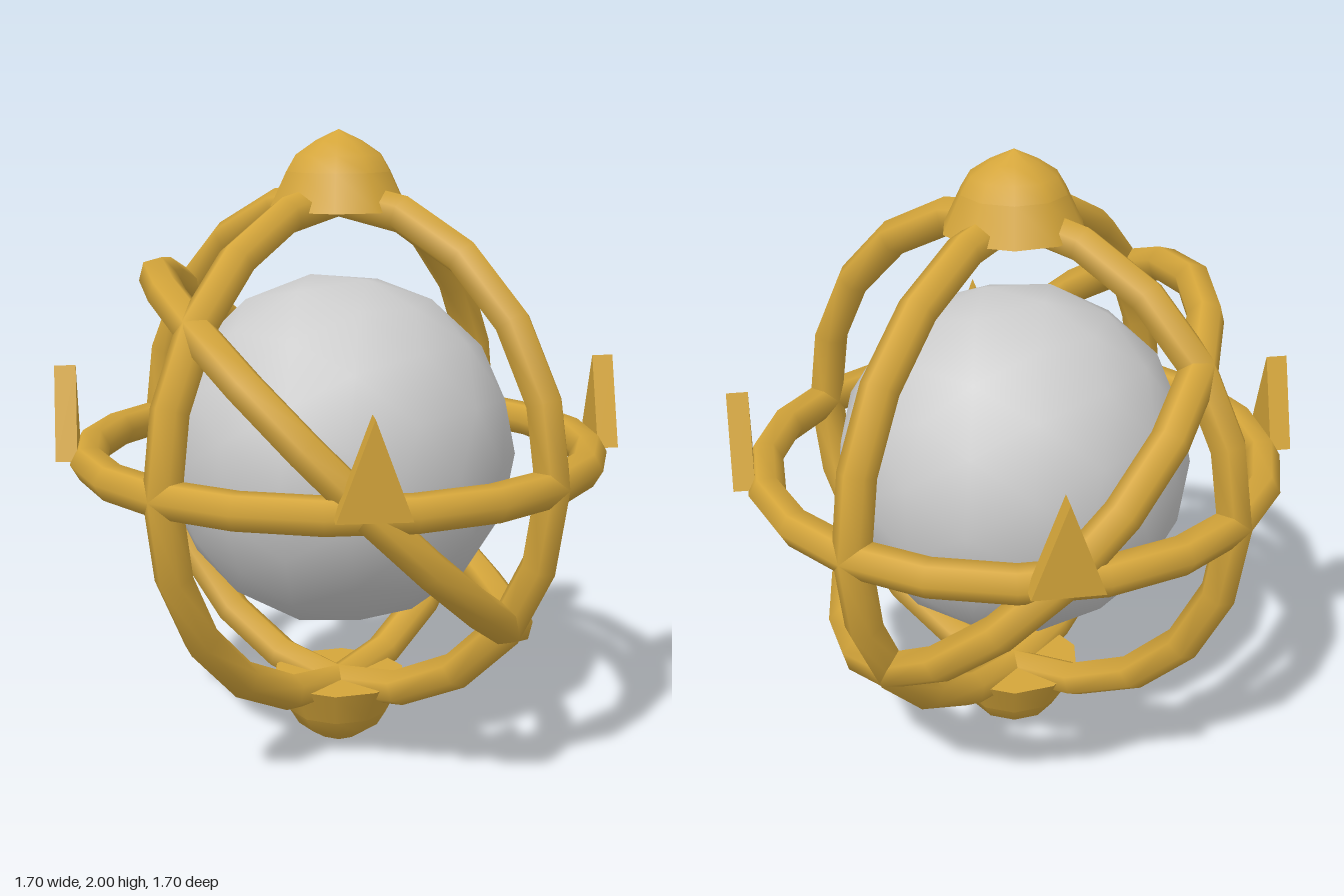
import * as THREE from 'three';

const GOLD = 0xd4a53a;
const CENTRE_Y = 1;
const RING_RADIUS = 0.793;

export function createModel() {
  const model = new THREE.Group();
  model.name = 'cagedGlobe';
  const gold = new THREE.MeshStandardMaterial({ color: GOLD });
  const grey = new THREE.MeshStandardMaterial({ color: 0xcccccc });

  // everything is placed about the globe's centre
  const body = new THREE.Group();
  body.name = 'body';
  body.position.y = CENTRE_Y;
  model.add(body);

  const add = (parent, name, geometry, material) => {
    const mesh = new THREE.Mesh(geometry, material);
    mesh.name = name;
    parent.add(mesh);
    return mesh;
  };

  // inner globe
  add(body, 'globe', new THREE.IcosahedronGeometry(0.56, 2), grey);

  // cage rings: each is a torus turned so that its axis follows the given normal
  const ringGeometry = new THREE.TorusGeometry(RING_RADIUS, 0.058, 6, 20);
  const rings = [
    ['frontRing', 0, 0, 1],
    ['sideRing', 1, 0, 0],
    ['equatorRing', 0, 1, 0],
    ['tiltedRing', 0.5, Math.SQRT1_2, -0.5],
  ];
  for (const [name, x, y, z] of rings) {
    const ring = add(body, name, ringGeometry, gold);
    ring.quaternion.setFromUnitVectors(new THREE.Vector3(0, 0, 1), new THREE.Vector3(x, y, z).normalize());
  }

  // pole caps: rounded dome, flared skirt and flat underside
  const lathe = (points) =>
    new THREE.LatheGeometry(points.map(([r, y]) => new THREE.Vector2(r, y)), 10);
  const dome = lathe([[0.165, 0.875], [0.135, 0.925], [0.075, 0.965], [0, 1]]);
  const skirt = lathe([[0.22, 0.76], [0.165, 0.875]]);
  const underside = lathe([[0, 0.76], [0.22, 0.76]]);
  for (const [name, turn] of [['topCap', 0], ['bottomCap', Math.PI]]) {
    const cap = new THREE.Group();
    cap.name = name;
    cap.rotation.x = turn;
    add(cap, 'dome', dome, gold);
    add(cap, 'skirt', skirt, gold);
    add(cap, 'underside', underside, gold);
    body.add(cap);
  }

  // triangular fins standing on the equator ring, one per diagonal
  const thickness = 0.066;
  const outline = new THREE.Shape();
  outline.moveTo(-0.105, 0);
  outline.lineTo(0.105, 0);
  outline.lineTo(0, 0.282);
  outline.closePath();
  const finGeometry = new THREE.ExtrudeGeometry(outline, { depth: thickness, bevelEnabled: false });
  finGeometry.translate(0, 0.004, 0.852 - thickness / 2);
  for (let i = 0; i < 4; i++) {
    const fin = add(body, 'fin', finGeometry, gold);
    fin.rotation.y = Math.PI / 4 + (i * Math.PI) / 2;
  }

  return model;
}
